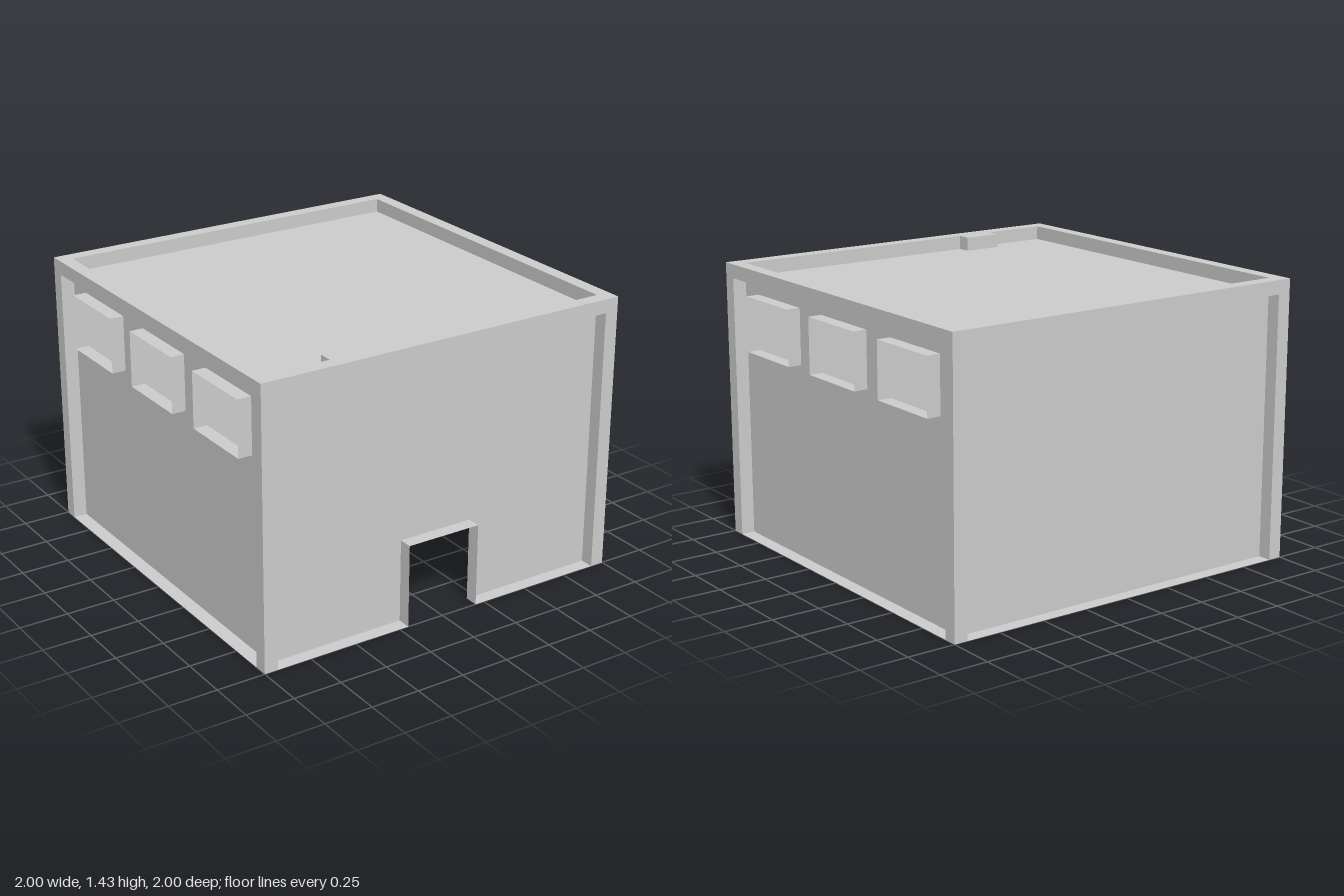
import * as THREE from 'three';

const T = 1 / 14;          // thickness of the outer frame
const H = 20 * T;          // overall height
const IN = 1 - T;          // half width of the recessed panels
const TOP = H - T;         // roof panel level
const DOOR = { half: 0.2, height: 6 * T };
const WIN = { half: 0.2, y0: 14 * T, y1: 18 * T };
const BLOCK = { x0: -0.6, x1: -0.4, y0: 18 * T, z0: IN - T };

const solid = new THREE.MeshStandardMaterial({ color: 0xcccccc, flatShading: true });
const sheet = new THREE.MeshStandardMaterial({ color: 0xcccccc, flatShading: true, side: THREE.DoubleSide });

const polygon = (pts) => new THREE.Shape(pts.map(([x, y]) => new THREE.Vector2(x, y)));

export function createModel() {
  const group = new THREE.Group();

  const box = (name, x0, x1, y0, y1, z0, z1) => {
    const mesh = new THREE.Mesh(new THREE.BoxGeometry(x1 - x0, y1 - y0, z1 - z0), solid);
    mesh.position.set((x0 + x1) / 2, (y0 + y1) / 2, (z0 + z1) / 2);
    mesh.name = name;
    group.add(mesh);
  };
  const panel = (name, shape) => {
    const mesh = new THREE.Mesh(new THREE.ShapeGeometry(shape), sheet);
    mesh.name = name;
    group.add(mesh);
    return mesh;
  };
  // Open sleeve: a path of [u, y] points swept from the panel to the outer plane
  const sleeve = (name, pts) => {
    const pos = [], index = [];
    pts.forEach(([u, y], i) => {
      pos.push(u, y, IN, u, y, 1);
      if (i) index.push(2 * i - 2, 2 * i, 2 * i - 1, 2 * i - 1, 2 * i, 2 * i + 1);
    });
    const geo = new THREE.BufferGeometry();
    geo.setAttribute('position', new THREE.Float32BufferAttribute(pos, 3));
    geo.setIndex(index);
    geo.computeVertexNormals();
    const mesh = new THREE.Mesh(geo, sheet);
    mesh.name = name;
    group.add(mesh);
    return mesh;
  };

  // Corner posts
  for (const sx of [-1, 1]) for (const sz of [-1, 1]) {
    const cx = sx * (1 - T / 2), cz = sz * (1 - T / 2);
    box('cornerPost', cx - T / 2, cx + T / 2, 0, TOP - T, cz - T / 2, cz + T / 2);
    box('cornerPostTop', cx - T / 2, cx + T / 2, TOP - T, H, cz - T / 2, cz + T / 2);
  }

  // Roof rim
  for (const s of [-1, 1]) {
    const c = s * (1 - T / 2);
    box('roofRim', -IN, IN, TOP, H, c - T / 2, c + T / 2);
    box('roofRim', c - T / 2, c + T / 2, TOP, H, -IN, IN);
  }

  // Recessed roof, notched around the roof block
  const roof = panel('roof', polygon([
    [-IN, IN], [-IN, -IN], [BLOCK.x0, -IN], [BLOCK.x0, -BLOCK.z0],
    [BLOCK.x1, -BLOCK.z0], [BLOCK.x1, -IN], [IN, -IN], [IN, IN],
  ]));
  roof.rotation.x = -Math.PI / 2;
  roof.position.y = TOP;

  // Small block passing through the roof edge
  box('roofBlock', BLOCK.x0, BLOCK.x1, BLOCK.y0, H, BLOCK.z0, IN);

  // Front wall, notched for the doorway and the block
  const d = DOOR.half, dh = DOOR.height;
  panel('frontWall', polygon([
    [-IN, 0], [-d, 0], [-d, dh], [d, dh], [d, 0], [IN, 0], [IN, TOP],
    [BLOCK.x1, TOP], [BLOCK.x1, BLOCK.y0], [BLOCK.x0, BLOCK.y0], [BLOCK.x0, TOP], [-IN, TOP],
  ])).position.z = IN;
  sleeve('doorFrame', [[-d, 0], [-d, dh], [d, dh], [d, 0]]);

  // Back wall
  const rect = [[-IN, 0], [IN, 0], [IN, TOP], [-IN, TOP]];
  const back = panel('backWall', polygon(rect));
  back.position.z = -IN;
  back.rotation.y = Math.PI;

  // Side walls with three framed windows each
  for (const s of [-1, 1]) {
    const shape = polygon(rect);
    for (const u of [-0.6, 0, 0.6]) {
      const a = u - WIN.half, b = u + WIN.half;
      const loop = [[a, WIN.y0], [a, WIN.y1], [b, WIN.y1], [b, WIN.y0]];
      shape.holes.push(polygon(loop));
      sleeve('windowFrame', [...loop, loop[0]]).rotation.y = s * Math.PI / 2;
    }
    const wall = panel('sideWall', shape);
    wall.position.x = s * IN;
    wall.rotation.y = s * Math.PI / 2;
  }

  // Thin ground ledge, open at the doorway
  const ledge = panel('groundLedge', polygon([
    [-d, -1], [-d, -IN], [-IN, -IN], [-IN, IN], [IN, IN], [IN, -IN],
    [d, -IN], [d, -1], [1, -1], [1, 1], [-1, 1], [-1, -1],
  ]));
  ledge.rotation.x = -Math.PI / 2;

  return group;
}
